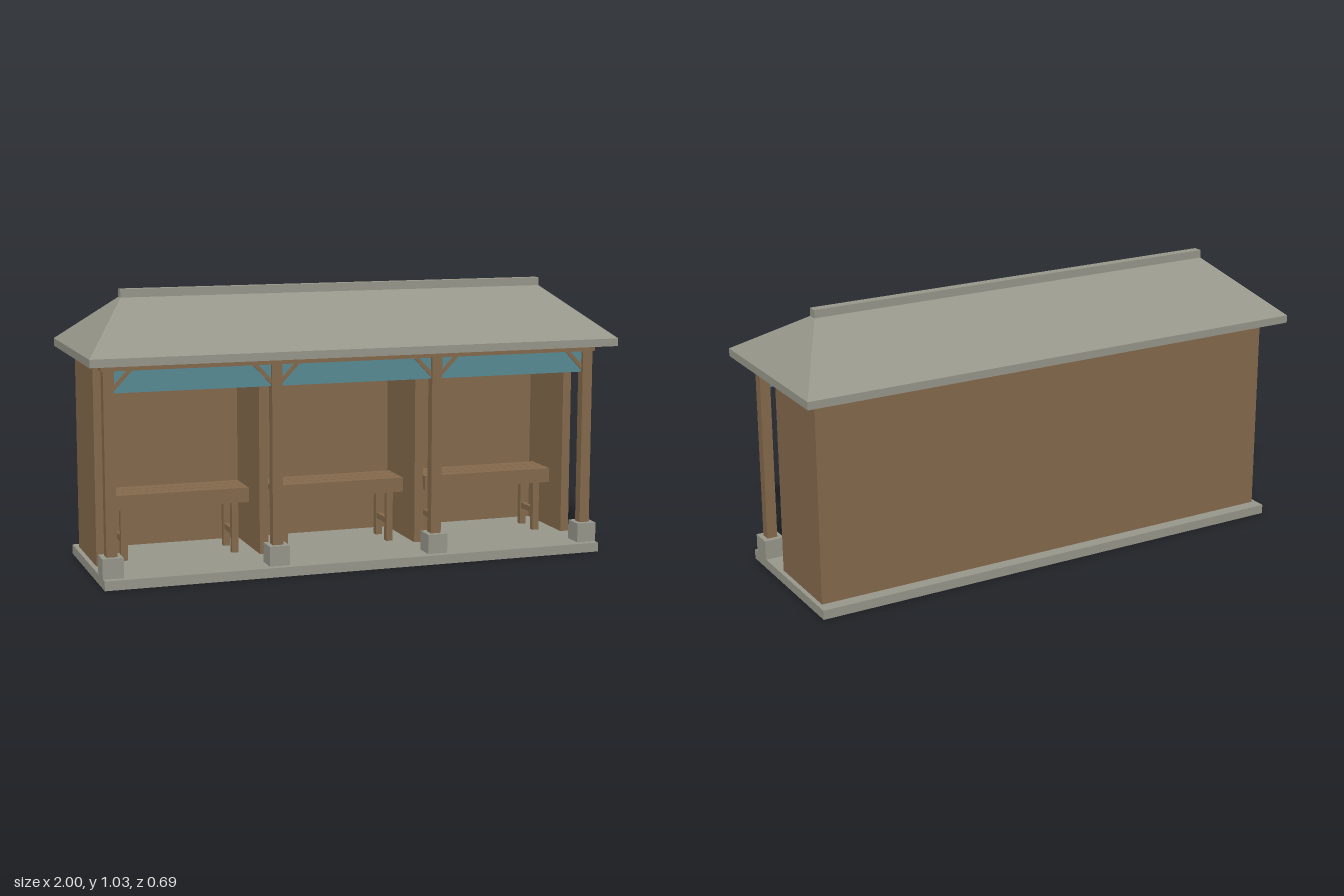
import * as THREE from 'three';

export function createModel() {
  const model = new THREE.Group();
  model.name = 'shelter';
  const mat = (name, color) => {
    const m = new THREE.MeshStandardMaterial({ color });
    m.name = name;
    return m;
  };
  const stone = mat('greyStone', 0x96968a);
  const wood = mat('brownWood', 0x84694c);
  const teal = mat('tealPanel', 0x588a93);

  // Box given by its min and max on each axis
  const box = (parent, name, m, [x0, x1], [y0, y1], [z0, z1]) => {
    const mesh = new THREE.Mesh(new THREE.BoxGeometry(x1 - x0, y1 - y0, z1 - z0), m);
    mesh.position.set((x0 + x1) / 2, (y0 + y1) / 2, (z0 + z1) / 2);
    mesh.name = name;
    parent.add(mesh);
    return mesh;
  };
  const around = (c, w) => [c - w / 2, c + w / 2];

  const floorY = 0.035, eaveY = 0.793, postZ = 0.238;
  const lines = [-0.918, -0.307, 0.307, 0.918];

  // Floor slab
  box(model, 'floorSlab', stone, [-0.955, 0.955], [0, floorY], [-0.305, 0.305]);

  // Back wall, end walls and dividers
  box(model, 'backWall', wood, [-0.938, 0.938], [floorY, eaveY], [-0.257, -0.224]);
  [-0.9215, -0.307, 0.307, 0.9215].forEach((x, i) => {
    const name = i % 3 === 0 ? 'endWall' : 'divider';
    box(model, name, wood, around(x, 0.033), [floorY, eaveY], [-0.224, 0.077]);
  });

  // Front posts on stone footings, with the beam they carry
  for (const x of lines) {
    box(model, 'footing', stone, around(x, 0.076), [floorY, 0.108], around(postZ, 0.08));
    box(model, 'post', wood, around(x, 0.039), [0.108, 0.77], around(postZ, 0.039));
  }
  box(model, 'frontBeam', wood, [-0.945, 0.945], [0.768, 0.795], around(postZ, 0.046));

  // Valance panels and diagonal braces in each bay
  for (let i = 0; i < 3; i++) {
    const a = lines[i] + 0.0195, b = lines[i + 1] - 0.0195;
    box(model, 'valancePanel', teal, [a, b], [0.688, 0.77], around(postZ, 0.009));
    for (const [x, s] of [[a, 1], [b, -1]]) {
      const brace = new THREE.Shape([[0, 0.695], [0.07, 0.769], [0.05, 0.769], [0, 0.716]]
        .map(([u, v]) => new THREE.Vector2(x + s * u, v)));
      const geo = new THREE.ExtrudeGeometry(brace, { depth: 0.02, bevelEnabled: false });
      const mesh = new THREE.Mesh(geo, wood);
      mesh.position.z = postZ - 0.01;
      mesh.name = 'brace';
      model.add(mesh);
    }
  }

  // Benches: slatted seat, apron, legs and stretchers
  for (const cx of [-0.613, 0, 0.613]) {
    const bench = new THREE.Group();
    bench.name = 'bench';
    bench.position.x = cx;
    for (let i = 0; i < 3; i++) {
      box(bench, 'seatSlat', wood, [-0.262, 0.262], [0.262, 0.28], around(0.004 - i * 0.054, 0.05));
    }
    for (const z of [0.02, -0.12]) {
      box(bench, 'apron', wood, [-0.262, 0.262], [0.225, 0.262], around(z, 0.018));
    }
    for (const x of [-0.21, 0.21]) {
      box(bench, 'seatBearer', wood, around(x, 0.025), [0.23, 0.262], [-0.111, 0.011]);
      box(bench, 'stretcher', wood, around(x, 0.018), [0.1, 0.122], [-0.11, 0.01]);
      for (const z of [0.01, -0.11]) {
        box(bench, 'leg', wood, around(x, 0.025), [floorY, 0.23], around(z, 0.025));
      }
    }
    model.add(bench);
  }

  // Hollow hipped roof: outer slopes, fascia and parallel underside
  const thick = 0.029;
  const corner = (sx, sz, y) => [sx, y, sz * 0.343];
  const eave = (y) => [corner(-1, 1, y), corner(1, 1, y), corner(1, -1, y), corner(-1, -1, y)];
  const pos = [];
  const face = (pts, flip) => {
    const p = flip ? [...pts].reverse() : pts;
    for (let i = 1; i < p.length - 1; i++) pos.push(...p[0], ...p[i], ...p[i + 1]);
  };
  const slopes = (drop, flip) => {
    const [a, b, c, d] = eave(eaveY + thick - drop);
    const l = [-0.81, 1.01 - drop, 0], r = [0.81, 1.01 - drop, 0];
    face([a, b, r, l], flip);
    face([c, d, l, r], flip);
    face([b, c, r], flip);
    face([d, a, l], flip);
  };
  slopes(0, false);
  slopes(thick, true);
  const low = eave(eaveY), high = eave(eaveY + thick);
  for (let i = 0; i < 4; i++) {
    const j = (i + 1) % 4;
    face([low[i], low[j], high[j], high[i]], false);
  }
  const roofGeo = new THREE.BufferGeometry();
  roofGeo.setAttribute('position', new THREE.Float32BufferAttribute(pos, 3));
  roofGeo.computeVertexNormals();
  const roof = new THREE.Mesh(roofGeo, stone);
  roof.name = 'hippedRoof';
  model.add(roof);

  // Ridge cap
  box(model, 'ridgeCap', stone, [-0.82, 0.82], [1.0, 1.03], around(0, 0.036));

  return model;
}
